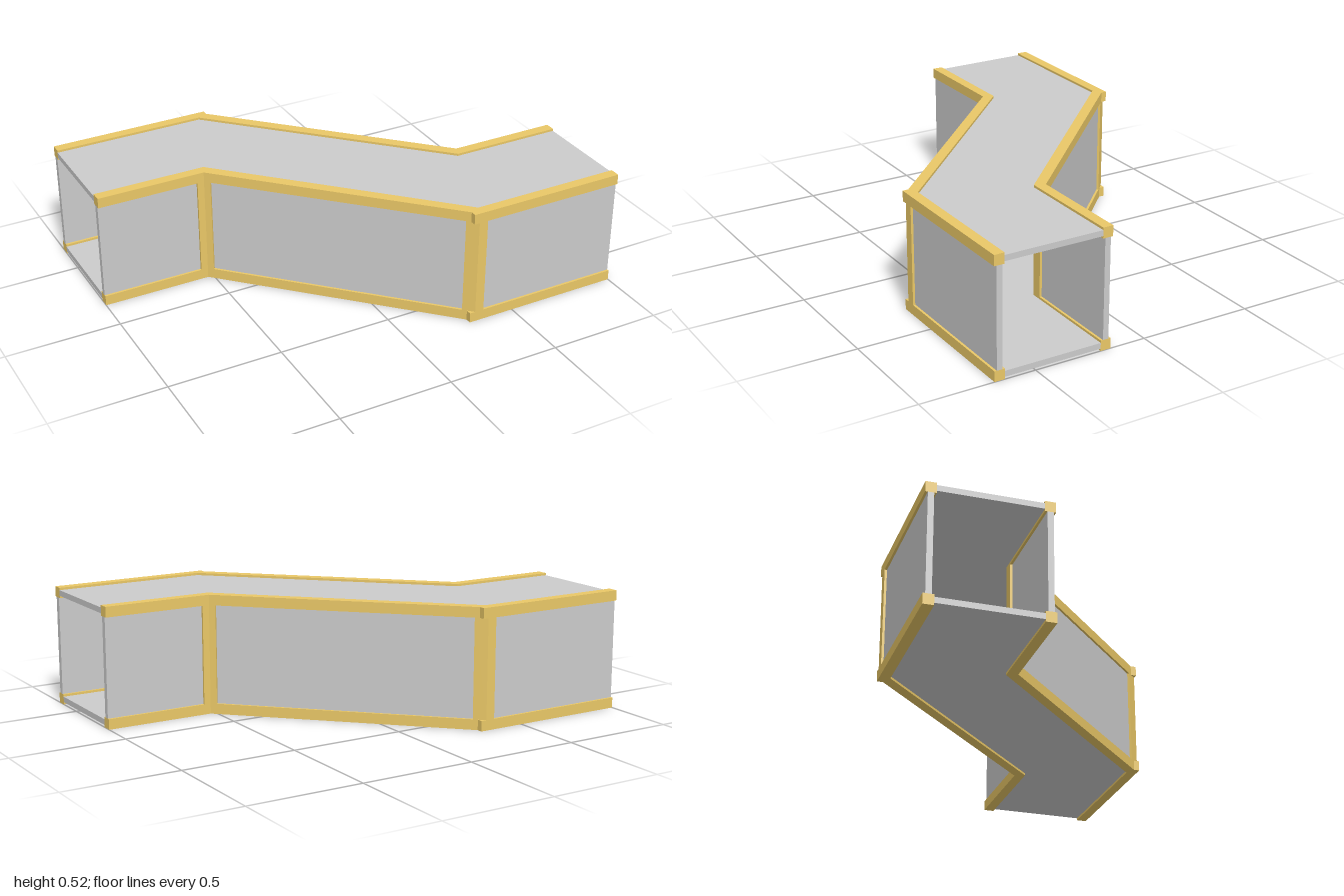
import * as THREE from 'three';

const HEIGHT = 0.52, RAIL = 0.045;
const gold = new THREE.MeshStandardMaterial({ color: 0xeac867 });
const grey = new THREE.MeshStandardMaterial({ color: 0xcccccc });

// Plan line of the back side, moved inward by depth d, with mitred bends [x, z]
function backLine(d) {
  const slip = d * Math.tan(Math.PI / 8);
  return [[-1, -0.68 + d], [-0.315 - slip, -0.68 + d], [0.525 - slip, 0.16 + d], [1, 0.16 + d]];
}

// Closed strip in plan between two depths of the back side
const strip = (d0, d1) => [...backLine(d0), ...backLine(d1).reverse()];

// Plan outline [x, z] raised from y0 to y1
function slab(name, outline, y0, y1, material) {
  const shape = new THREE.Shape(outline.map(([x, z]) => new THREE.Vector2(x, -z)));
  const geometry = new THREE.ExtrudeGeometry(shape, { depth: y1 - y0, bevelEnabled: false });
  geometry.rotateX(-Math.PI / 2).translate(0, y0, 0);
  const mesh = new THREE.Mesh(geometry, material);
  mesh.name = name;
  return mesh;
}

// One side of the duct: two rails, two corner posts and a bent wall panel
function buildSide(name) {
  const side = new THREE.Group();
  side.name = name;

  // Rail outline, the straight run overshooting the outer bend slightly
  const rail = strip(0, RAIL);
  rail.splice(1, 1, [-0.29, -0.68], [-0.29, -0.655]);
  side.add(slab('bottomRail', rail, 0, RAIL, gold));
  side.add(slab('topRail', rail, HEIGHT - RAIL, HEIGHT, gold));

  const outerBend = [[-0.355, -0.68], [-0.315, -0.68], [-0.275, -0.64],
    [-0.307, -0.608], [-0.334, -0.635], [-0.355, -0.635]];
  const innerBend = [[0.505, 0.14], [0.525, 0.16], [0.555, 0.16],
    [0.555, 0.205], [0.506, 0.205], [0.473, 0.172]];
  side.add(slab('outerBendPost', outerBend, RAIL, HEIGHT - RAIL, gold));
  side.add(slab('innerBendPost', innerBend, RAIL, HEIGHT - RAIL, gold));

  side.add(slab('wallPanel', strip(0.01, 0.035), RAIL, HEIGHT - RAIL, grey));
  return side;
}

export function createModel() {
  const model = new THREE.Group();
  model.name = 'offsetDuct';

  // The front side is the back side turned half way round
  const front = buildSide('frontSide');
  front.rotation.y = Math.PI;
  model.add(buildSide('backSide'), front);

  // Floor and roof panels between the rails
  const back = backLine(RAIL);
  const plan = [...back, ...back.map(([x, z]) => [-x, -z])];
  model.add(slab('floorPanel', plan, 0.01, 0.035, grey));
  model.add(slab('roofPanel', plan, HEIGHT - 0.035, HEIGHT - 0.01, grey));
  return model;
}
